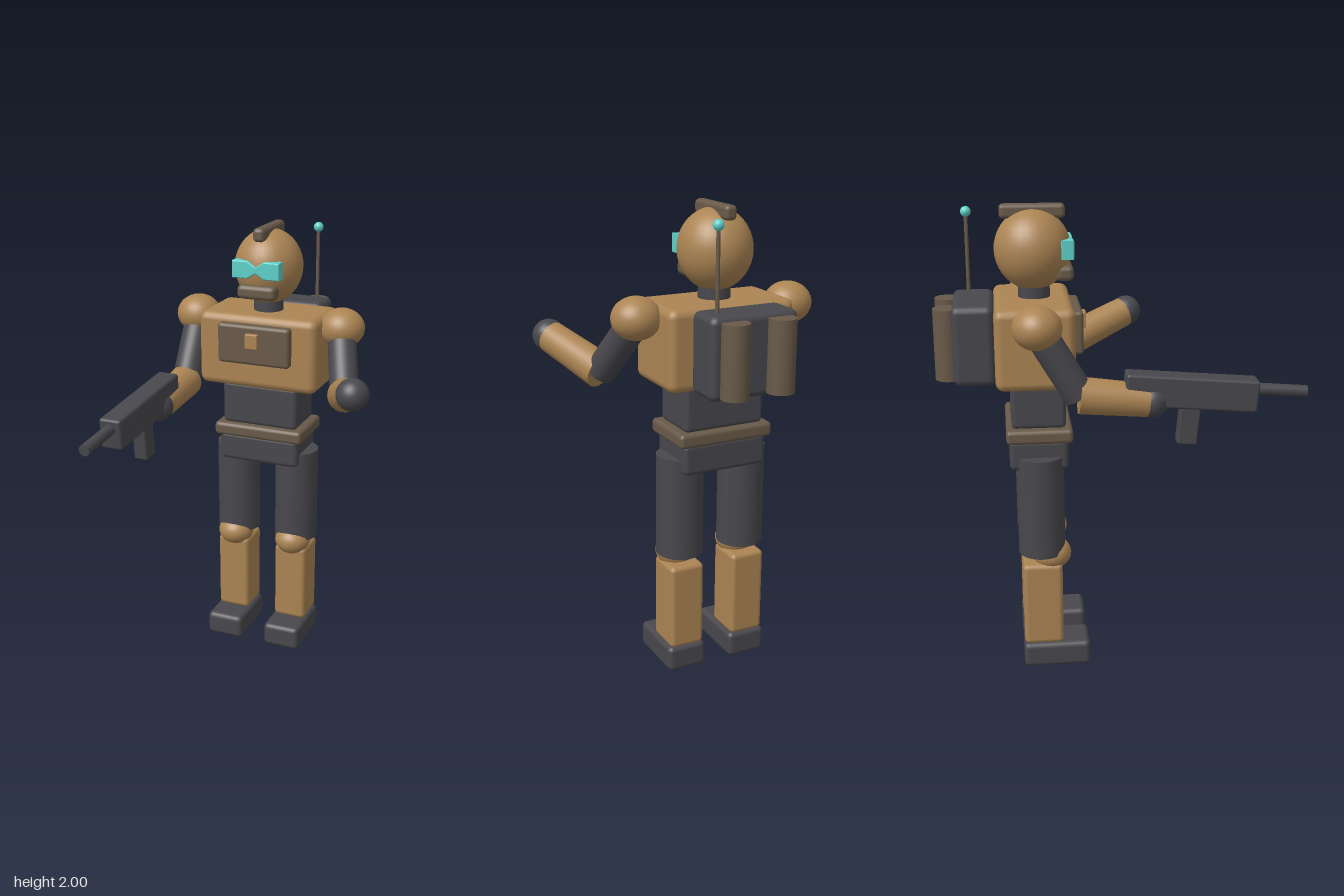
import * as THREE from 'three';
import { RoundedBoxGeometry } from 'three/addons/geometries/RoundedBoxGeometry.js';

const material = (name, color) => {
  const m = new THREE.MeshStandardMaterial({ color });
  m.name = name;
  return m;
};

export function createModel() {
  const model = new THREE.Group();
  model.name = 'armouredTrooper';
  const tan = material('tan armour', 0xab8453);
  const dark = material('dark suit', 0x48484d);
  const brown = material('brown trim', 0x695a49);
  const cyan = material('cyan glow', 0x5fd0c8);
  const cx = -0.085; // centre line of the body

  const add = (name, geometry, mat, x, y, z, parent = model) => {
    const mesh = new THREE.Mesh(geometry, mat);
    mesh.name = name;
    mesh.position.set(x, y, z);
    parent.add(mesh);
    return mesh;
  };
  const box = (name, mat, w, h, d, x, y, z, r = 0.02, parent = model) =>
    add(name, new RoundedBoxGeometry(w, h, d, 2, r), mat, x, y, z, parent);
  const ball = (name, mat, rx, ry, rz, x, y, z) => {
    const mesh = add(name, new THREE.SphereGeometry(1, 32, 20), mat, x, y, z);
    mesh.scale.set(rx, ry, rz);
    return mesh;
  };
  // Cylinder running between two points
  const limb = (name, mat, a, b, ra, rb) => {
    const from = new THREE.Vector3(...a), to = new THREE.Vector3(...b);
    const axis = to.clone().sub(from);
    const mid = from.clone().add(to).multiplyScalar(0.5);
    const mesh = add(name, new THREE.CylinderGeometry(rb, ra, axis.length(), 28), mat, mid.x, mid.y, mid.z);
    mesh.quaternion.setFromUnitVectors(new THREE.Vector3(0, 1, 0), axis.normalize());
    return mesh;
  };

  // Trunk
  box('torso', tan, 0.56, 0.335, 0.325, cx, 1.453, -0.343, 0.035);
  box('chestPanel', brown, 0.34, 0.18, 0.05, cx, 1.497, -0.167, 0.016);
  box('chestBadge', tan, 0.058, 0.066, 0.03, cx, 1.52, -0.136, 0.004);
  box('abdomen', dark, 0.36, 0.2, 0.227, cx, 1.195, -0.333, 0.02);
  box('belt', brown, 0.426, 0.062, 0.278, cx, 1.068, -0.331, 0.018);
  box('pelvis', dark, 0.38, 0.135, 0.248, cx, 0.982, -0.334, 0.022);

  // Head
  limb('neck', dark, [cx, 1.58, -0.335], [cx, 1.7, -0.335], 0.066, 0.066);
  ball('head', tan, 0.152, 0.166, 0.158, cx, 1.816, -0.337);
  box('crest', brown, 0.052, 0.06, 0.268, cx, 1.97, -0.336, 0.018);
  box('mouthGuard', brown, 0.18, 0.064, 0.072, cx, 1.725, -0.209, 0.022);

  // Visor pinched at the middle
  const visor = new THREE.Shape([
    [-0.106, -0.034], [-0.04, -0.034], [0, -0.01], [0.04, -0.034], [0.106, -0.034],
    [0.106, 0.034], [0.04, 0.034], [0, 0.01], [-0.04, 0.034], [-0.106, 0.034],
  ].map(([x, y]) => new THREE.Vector2(x, y)));
  const visorGeometry = new THREE.ExtrudeGeometry(visor, {
    depth: 0.045, bevelThickness: 0.004, bevelSize: 0.004, bevelSegments: 1,
  });
  add('visor', visorGeometry, cyan, cx, 1.825, -0.221);

  // Legs
  for (const [side, s] of [['right', -1], ['left', 1]]) {
    const x = cx + s * 0.147;
    limb(side + 'Thigh', dark, [x, 0.53, -0.33], [x, 0.973, -0.33], 0.1, 0.1);
    ball(side + 'Knee', tan, 0.084, 0.069, 0.084, x, 0.518, -0.288);
    box(side + 'Shin', tan, 0.155, 0.38, 0.17, x, 0.3, -0.331, 0.02);
    box(side + 'Foot', dark, 0.176, 0.113, 0.29, x, 0.0565, -0.275, 0.022);
    ball(side + 'Shoulder', tan, 0.102, 0.088, 0.099, cx + s * 0.347, 1.568, -0.338);
  }

  // Arms: shoulder, elbow and hand positions
  const arms = {
    right: [[-0.428, 1.56, -0.335], [-0.428, 1.29, -0.175], [-0.426, 1.258, 0.115]],
    left: [[0.262, 1.56, -0.335], [0.34, 1.32, -0.16], [0.46, 1.422, 0.112]],
  };
  for (const [side, [shoulder, elbow, hand]] of Object.entries(arms)) {
    limb(side + 'UpperArm', dark, shoulder, elbow, 0.064, 0.064);
    limb(side + 'Forearm', tan, elbow, hand, 0.075, 0.067);
    ball(side + 'Hand', dark, 0.069, 0.069, 0.069, ...hand);
  }

  // Rifle, tipped slightly down at the muzzle
  const rifle = new THREE.Group();
  rifle.name = 'rifle';
  rifle.position.set(-0.424, 1.293, 0.273);
  rifle.rotation.x = 0.085;
  model.add(rifle);
  box('receiver', dark, 0.098, 0.132, 0.54, 0, 0, 0, 0.012, rifle);
  const barrel = add('barrel', new THREE.CylinderGeometry(0.024, 0.024, 0.24, 20), dark, 0, 0.024, 0.354, rifle);
  barrel.rotation.x = Math.PI / 2;
  box('magazine', dark, 0.062, 0.18, 0.082, 0, -0.13, 0.002, 0.008, rifle);

  // Backpack with two tanks and an antenna
  box('backpack', dark, 0.382, 0.332, 0.172, cx, 1.454, -0.588, 0.03);
  for (const s of [-1, 1]) {
    const x = cx + s * 0.102;
    limb('tank', brown, [x, 1.305, -0.694], [x, 1.6, -0.694], 0.056, 0.056);
  }
  limb('antenna', brown, [0.05, 1.6, -0.606], [0.05, 1.95, -0.606], 0.008, 0.008);
  ball('antennaTip', cyan, 0.022, 0.022, 0.022, 0.05, 1.952, -0.606);

  return model;
}
